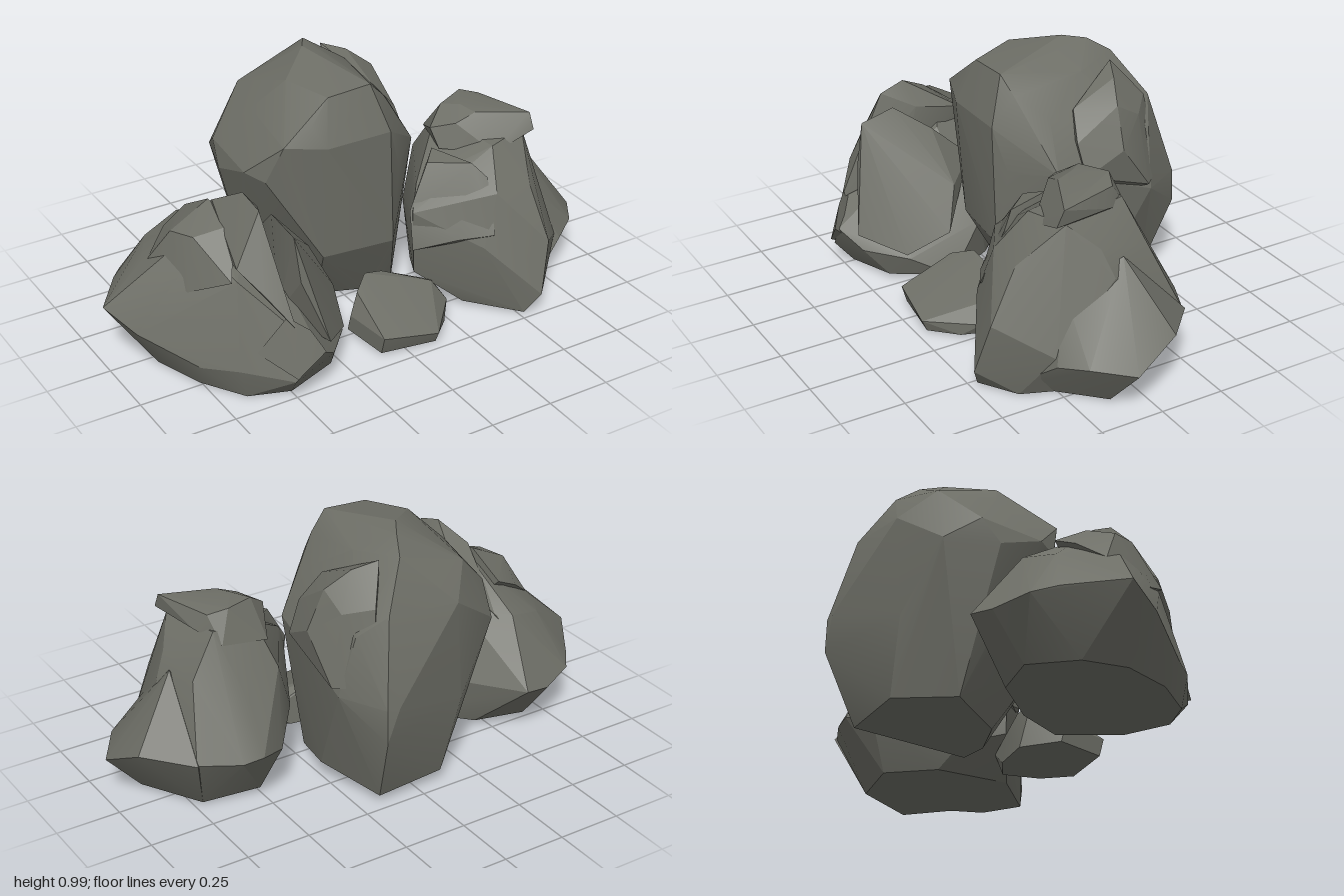
import * as THREE from 'three';
import { ConvexGeometry } from 'three/addons/geometries/ConvexGeometry.js';
import { toCreasedNormals } from 'three/addons/utils/BufferGeometryUtils.js';

const stone = new THREE.MeshStandardMaterial({ color: 0x6d6e66 });
stone.name = 'stone grey';

// One chiselled block: the hull of its corner points, softened over shallow creases
function block(name, corners) {
  const hull = new ConvexGeometry(corners.map((c) => new THREE.Vector3(...c)));
  const mesh = new THREE.Mesh(toCreasedNormals(hull, 0.35), stone);
  mesh.name = name;
  return mesh;
}

function boulder(name, parts) {
  const group = new THREE.Group();
  group.name = name;
  for (const [part, corners] of Object.entries(parts)) group.add(block(part, corners));
  return group;
}

// Tall boulder at the back, undercut towards its base
const centre = {
  centreBody: [
    [.2, .03, .02], [.08, .03, .03], [-.1, .03, -.04], [-.26, .05, -.27], [-.1, .06, -.46], [.17, .04, -.46], [.26, .08, -.2],
    [-.17, .3, .13], [.12, .3, .16], [.22, .28, .04], [.28, .4, -.25], [.21, .33, -.57], [-.18, .35, -.47], [-.3, .35, -.2],
    [-.425, .6, -.2], [-.415, .66, -.02], [-.37, .64, .06], [-.32, .79, .11], [-.41, .69, -.27], [-.36, .6, -.4],
    [.16, .46, -.57], [.21, .46, -.565], [.3, .62, 0], [.16, .6, .13], [.1, .77, .165], [-.17, .77, .165],
    [-.21, .85, .12], [-.13, .94, .1], [.05, .95, .1], [.12, .88, .08], [.2, .8, -.02], [-.2, .955, -.08],
    [-.05, 1, -.22], [0, .99, -.3], [-.31, .84, -.15], [-.25, .85, -.36],
    [.04, .94, -.38], [.12, .92, -.2], [.15, .78, -.48], [-.15, .75, -.475], [.25, .7, -.42], [.31, .47, -.4],
  ],
  centreShoulder: [
    [.1, .93, -.34], [.19, .9, -.3], [.28, .83, -.26], [.345, .68, -.25], [.33, .6, -.1], [.325, .5, -.38],
    [.27, .77, -.36], [.1, .7, -.15], [.28, .72, -.09], [.2, .82, -.12], [.22, .45, -.25], [.18, .8, -.44], [.22, .52, -.5],
  ],
};

// Broad boulder on the +x side with a flat, overhanging cap
const right = {
  rightBody: [
    [.35, .03, .3], [.52, .015, .47], [.66, .015, .38], [.78, .02, .1], [.72, .02, -.12], [.5, .03, -.16], [.36, .03, 0],
    [.19, .16, .2], [.27, .12, .05], [.57, .1, .51], [.62, .3, .47], [.38, .3, .39], [.78, .2, .3],
    [.79, .25, -.22], [.64, .24, -.29], [.56, .25, -.3], [.45, .22, -.24],
    [.33, .3, -.1], [.18, .42, .2], [.79, .46, .07], [.74, .56, .1], [.73, .52, -.1], [.56, .43, -.2],
    [.4, .5, -.14], [.24, .5, .13], [.45, .5, .36], [.6, .5, .36], [.67, .65, .2], [.62, .67, -.06],
    [.45, .66, -.06], [.38, .6, .06], [.5, .64, .25],
  ],
  rightCheek: [
    [.85, .015, .12], [.8, .18, .31], [.9, .2, .24], [.995, .18, .1], [.95, .27, -.08], [.79, .25, -.23], [.72, .02, -.12],
    [.6, .02, .38], [.86, .36, .04], [.76, .52, .02], [.7, .4, .22], [.5, .2, .1],
  ],
  rightCap: [
    [.35, .67, .05], [.43, .73, 0], [.48, .74, .06], [.55, .74, -.05], [.62, .72, -.02], [.69, .72, .22], [.69, .66, .25],
    [.66, .66, .02], [.5, .73, .13], [.42, .7, .12], [.36, .6, .1], [.42, .6, -.1], [.6, .62, -.09], [.52, .6, .24],
  ],
  rightLedge: [
    [.28, .58, .14], [.34, .6, .08], [.4, .6, .26], [.18, .42, .18], [.17, .27, .22], [.3, .33, .33],
    [.42, .35, .4], [.44, .55, .31], [.36, .45, .05],
  ],
};

// Craggy boulder on the -x side, split by gullies
const left = {
  leftBody: [
    [-.83, .02, .05], [-.76, .02, .25], [-.65, .01, .4], [-.5, .015, .46], [-.3, .03, .4], [-.15, .04, .2], [-.25, .04, 0],
    [-.45, .03, -.2], [-.65, .03, -.25], [-.8, .02, -.12], [-.995, .26, -.04], [-.93, .2, .1], [-.84, .15, .21],
    [-.78, .12, .3], [-.68, .13, .41], [-.52, .1, .53], [-.43, .21, .55], [-.34, .14, .49], [-.22, .12, .35],
    [-.2, .22, .05], [-.4, .25, -.15], [-.48, .2, -.29], [-.55, .22, -.4], [-.66, .2, -.38], [-.8, .22, -.32], [-.86, .24, -.24],
    [-.84, .4, -.04], [-.78, .42, .15], [-.64, .45, .33], [-.45, .48, -.1], [-.6, .46, -.22], [-.75, .42, -.18],
    [-.7, .55, .1], [-.58, .6, .02], [-.45, .53, .1],
  ],
  leftHump: [
    [-.82, .42, -.02], [-.76, .56, .06], [-.72, .57, .16], [-.6, .64, .05], [-.62, .55, -.1], [-.72, .5, -.08],
    [-.77, .38, .2], [-.66, .45, .33], [-.55, .35, .1], [-.58, .6, .2],
  ],
  leftPeak: [
    [-.6, .65, .08], [-.54, .72, .2], [-.53, .69, .3], [-.64, .5, .33], [-.58, .42, .42], [-.5, .3, .5],
    [-.55, .45, -.2], [-.47, .63, .18], [-.45, .4, .25], [-.48, .58, -.02],
  ],
  leftSlab: [
    [-.47, .65, .28], [-.46, .62, .42], [-.4, .56, .15], [-.24, .38, .14], [-.17, .22, .2], [-.22, .14, .36],
    [-.36, .2, .5], [-.45, .45, .45], [-.38, .42, 0], [-.46, .25, .3],
  ],
  leftNose: [
    [-.52, .34, .47], [-.46, .3, .53], [-.42, .22, .57], [-.52, .12, .545], [-.62, .2, .43], [-.45, .1, .45],
  ],
};

// Small stone lying in front
const small = {
  smallBody: [
    [-.13, .03, .24], [-.1, .02, .43], [0, .02, .44], [.12, .015, .46], [.22, .02, .37], [.28, .03, .24], [.17, .03, .17],
    [0, .03, .14], [-.13, .1, .26], [-.1, .09, .45], [0, .07, .45], [.12, .06, .48], [.27, .07, .31], [.27, .1, .2],
    [-.02, .21, .18], [-.09, .18, .24], [.06, .19, .17], [.23, .14, .26], [.16, .14, .18],
  ],
};

export function createModel() {
  const model = new THREE.Group();
  model.name = 'rockCluster';
  model.add(
    boulder('centreBoulder', centre),
    boulder('rightBoulder', right),
    boulder('leftBoulder', left),
    boulder('smallStone', small),
  );
  return model;
}
